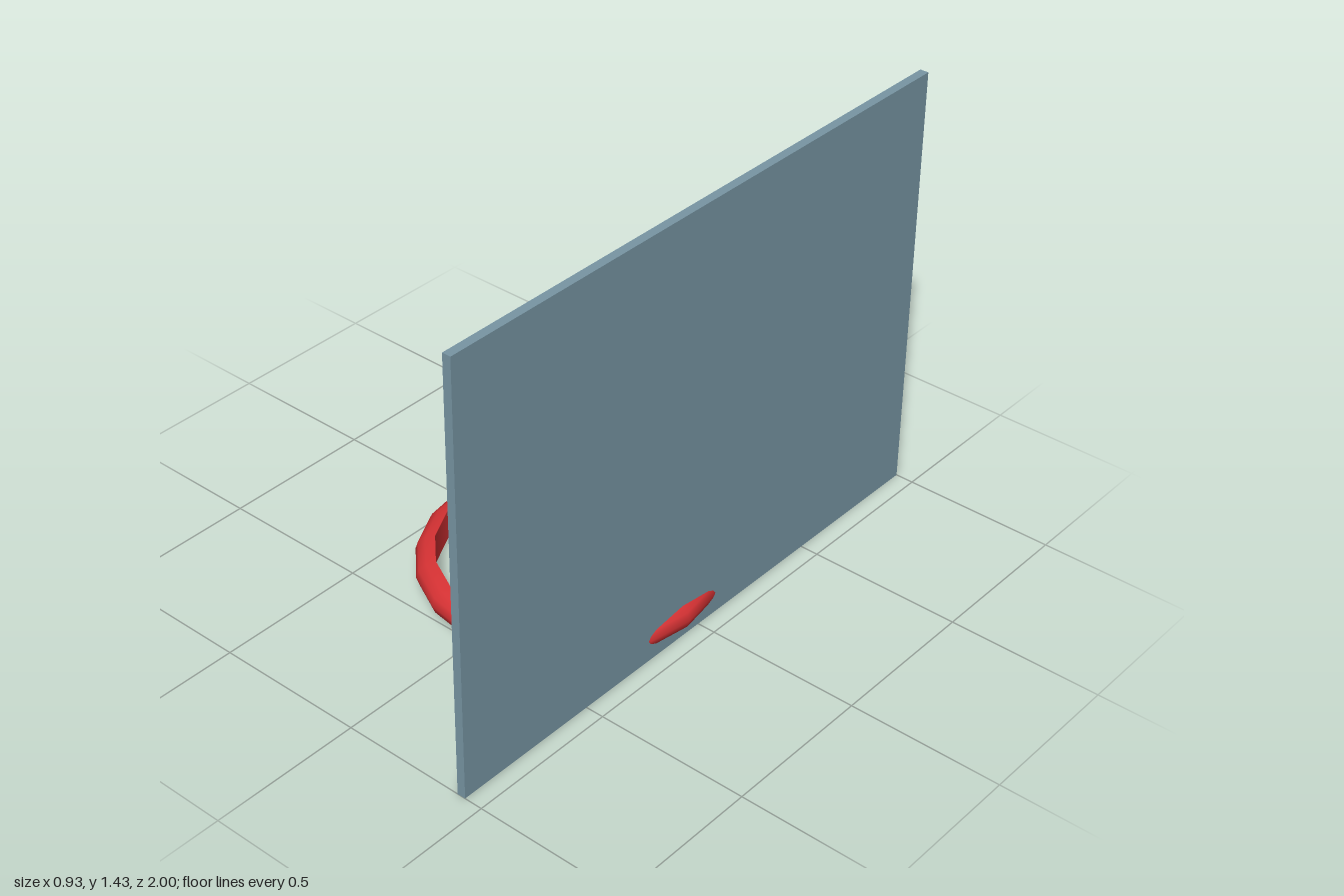
import * as THREE from 'three';

export function createModel() {
  const model = new THREE.Group();
  const slate = new THREE.MeshStandardMaterial({ color: 0x7896a4 });
  slate.name = 'slate blue';
  const red = new THREE.MeshStandardMaterial({ color: 0xd83234 });
  red.name = 'red';

  const add = (name, geometry, material, x, y, z, parent = model) => {
    const mesh = new THREE.Mesh(geometry, material);
    mesh.name = name;
    mesh.position.set(x, y, z);
    parent.add(mesh);
    return mesh;
  };

  // Upright board
  const boardX = 0.426, thickness = 0.028, height = 1.43;
  add('backboard', new THREE.BoxGeometry(thickness, height, 2), slate, boardX, height / 2, 0);

  // Hoop: rounded outer side and straight inner wall, 20 sided
  const hoop = new THREE.Group();
  hoop.name = 'hoop';
  hoop.position.set(0, 0.07, 0.075);
  model.add(hoop);
  const inner = 0.406, bulge = 0.061, half = 0.051, steps = 6;
  const outerProfile = [];
  for (let i = 0; i <= steps; i++) {
    const a = -Math.PI / 2 + (Math.PI * i) / steps;
    outerProfile.push(new THREE.Vector2(inner + bulge * Math.cos(a), half * Math.sin(a)));
  }
  const innerProfile = [new THREE.Vector2(inner, half), new THREE.Vector2(inner, -half)];
  add('hoopOuter', new THREE.LatheGeometry(outerProfile, 20), red, 0, 0, 0, hoop);
  add('hoopInner', new THREE.LatheGeometry(innerProfile, 20), red, 0, 0, 0, hoop);

  // Tiny corner tips of the target set into the board
  const tip = new THREE.BoxGeometry(0.008, 0.016, 0.008);
  for (const y of [0.25, 0.8]) {
    for (const z of [-0.41, 0.41]) {
      add('targetCorner', tip, red, boardX - thickness / 2, y, z);
    }
  }

  return model;
}
